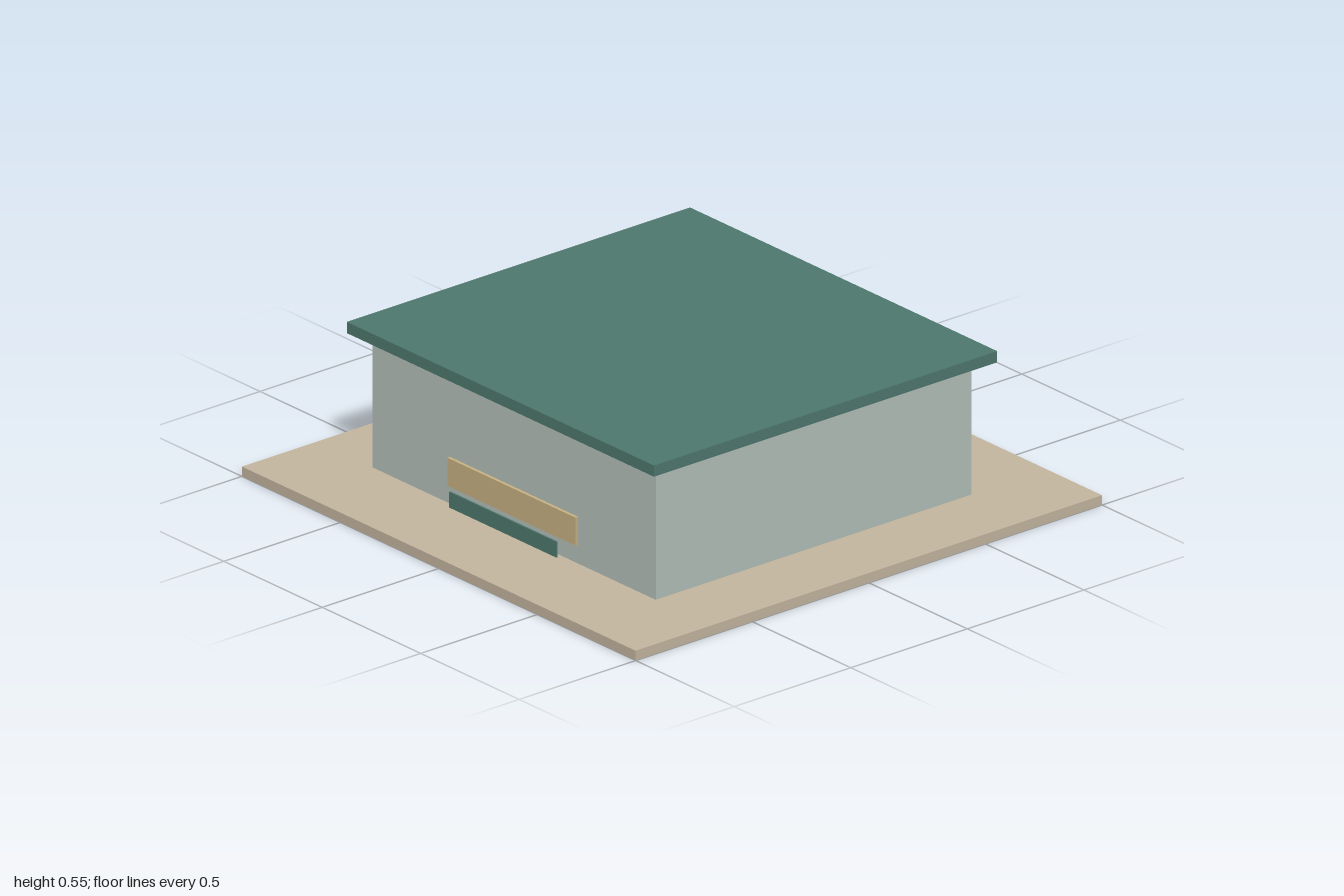
import * as THREE from 'three';

const material = (name, color) => {
  const m = new THREE.MeshStandardMaterial({ color });
  m.name = name;
  return m;
};

export function createModel() {
  const group = new THREE.Group();
  group.name = 'pavilion';

  const sand = material('sand', 0xc6b8a1);
  const sage = material('pale sage', 0xb6c3bc);
  const green = material('deep green', 0x4f796f);
  const ochre = material('ochre', 0xcab384);
  const slate = material('slate', 0x5c7275);

  // Box given by its size, base height and centre
  const box = (name, mat, w, h, d, y, x = 0, z = 0) => {
    const mesh = new THREE.Mesh(new THREE.BoxGeometry(w, h, d), mat);
    mesh.name = name;
    mesh.position.set(x, y + h / 2, z);
    group.add(mesh);
    return mesh;
  };

  // Ground slab, building body and overhanging flat roof
  box('groundSlab', sand, 2, 0.035, 2, 0);
  box('walls', sage, 1.44, 0.475, 1.355, 0.035);
  box('roof', green, 1.56, 0.04, 1.472, 0.51);

  // Front panel, with a lower board standing just ahead of it
  box('frontPanel', ochre, 0.65, 0.1, 0.012, 0.102, 0, 0.683);
  box('lowerBoard', green, 0.544, 0.056, 0.006, 0.052, 0, 0.723);

  // Small plates under the eaves
  box('frontEavePlate', slate, 0.03, 0.018, 0.004, 0.491, 0, 0.679);
  box('sideEavePlate', slate, 0.004, 0.018, 0.03, 0.491, 0.721, 0);

  return group;
}
